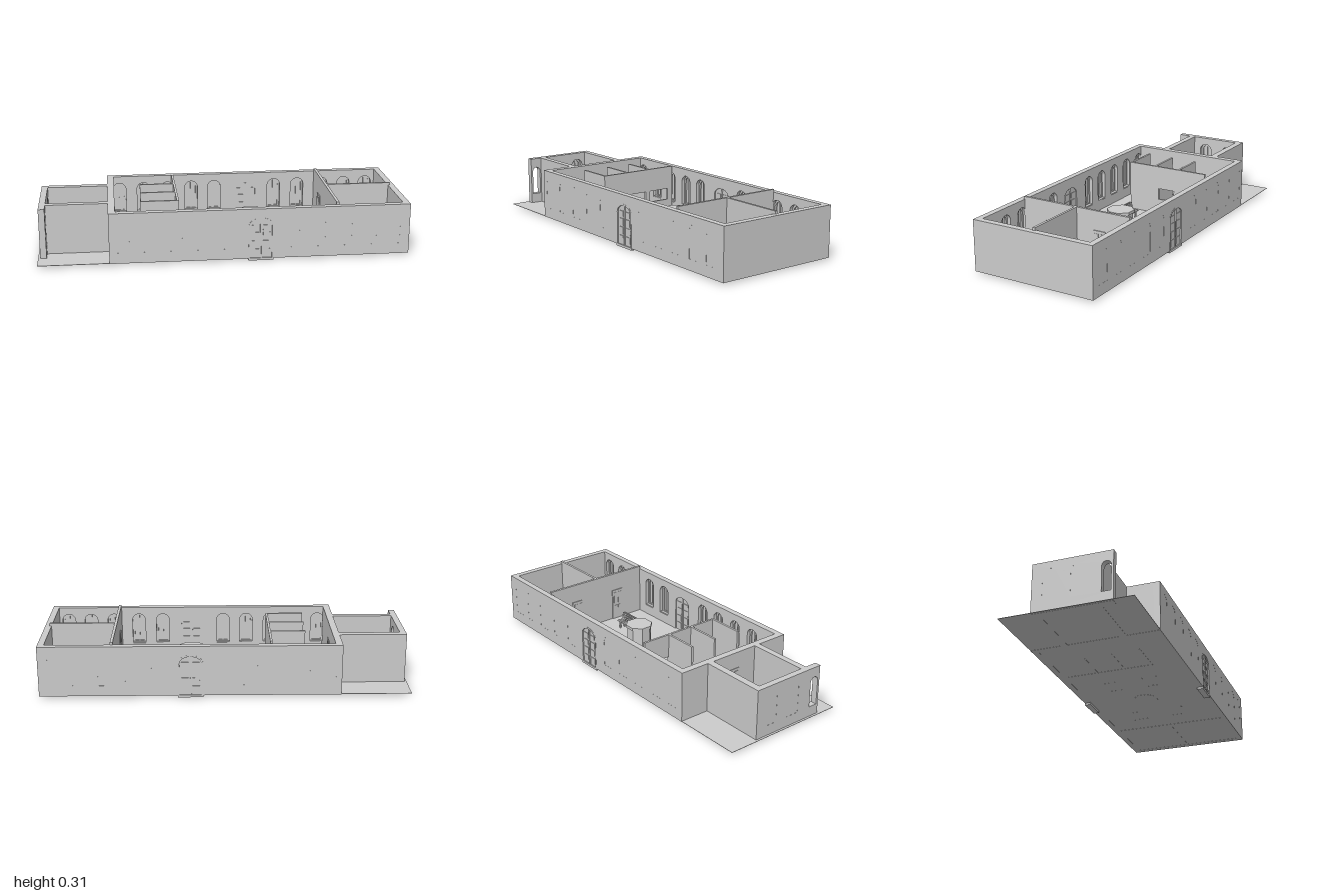
import * as THREE from 'three';

const mat = new THREE.MeshStandardMaterial({ color: 0xcccccc, flatShading: true, side: THREE.DoubleSide });
const BASE = 0.011, TOP = 0.29, T = 0.034;

function add(parent, name, geometry, x = 0, y = 0, z = 0) {
  const mesh = new THREE.Mesh(geometry, mat);
  mesh.name = name;
  mesh.position.set(x, y, z);
  parent.add(mesh);
  return mesh;
}

// box given by its minimum and maximum on each axis
function block(parent, name, x0, x1, y0, y1, z0, z1) {
  return add(parent, name, new THREE.BoxGeometry(x1 - x0, y1 - y0, z1 - z0),
    (x0 + x1) / 2, (y0 + y1) / 2, (z0 + z1) / 2);
}

// opening outline with an elliptical head; rise 0 gives a rectangle
function arch(path, c, w, y0, y1, rise) {
  path.moveTo(c - w / 2, y0);
  path.lineTo(c + w / 2, y0);
  path.lineTo(c + w / 2, y1 - rise);
  if (rise > 0) path.absellipse(c, y1 - rise, w / 2, rise, 0, Math.PI, false, 0);
  else path.lineTo(c - w / 2, y1);
  path.closePath();
  return path;
}

const extrude = (shape, depth) =>
  new THREE.ExtrudeGeometry(shape, { depth, bevelEnabled: false, curveSegments: 10 });

// upright wall along local x from a to b, pierced by openings [centre, width, bottom, top, rise]
function wall(parent, name, a, b, top, depth, openings = []) {
  const shape = new THREE.Shape();
  shape.moveTo(a, BASE);
  shape.lineTo(b, BASE);
  shape.lineTo(b, top);
  shape.lineTo(a, top);
  shape.closePath();
  for (const o of openings) shape.holes.push(arch(new THREE.Path(), ...o));
  return add(parent, name, extrude(shape, depth));
}

// pane flush with the outer face (local z = T), with a frame, bars and a sill behind it
function windowUnit(parent, c) {
  const g = new THREE.Group();
  g.name = 'window';
  g.position.x = c;
  add(g, 'pane', extrude(arch(new THREE.Shape(), 0, 0.075, 0.07, 0.25, 0.0375), 0.006), 0, 0, T - 0.0065);
  const frame = arch(new THREE.Shape(), 0, 0.075, 0.07, 0.25, 0.0375);
  frame.holes.push(arch(new THREE.Path(), 0, 0.053, 0.081, 0.239, 0.0265));
  add(g, 'windowFrame', extrude(frame, 0.008), 0, 0, T - 0.0145);
  block(g, 'mullion', -0.003, 0.003, 0.08, 0.24, T - 0.0125, T - 0.006);
  block(g, 'sill', -0.0375, 0.0375, 0.07, 0.075, 0.002, T - 0.006);
  parent.add(g);
}

// arched double door with raised panels on both faces
function doubleDoor(parent, c) {
  const g = new THREE.Group();
  g.name = 'doubleDoor';
  g.position.x = c;
  const frame = arch(new THREE.Shape(), 0, 0.134, 0.0125, 0.24, 0.045);
  frame.holes.push(arch(new THREE.Path(), 0, 0.118, 0.014, 0.231, 0.04));
  add(g, 'doorFrame', extrude(frame, T + 0.001));
  add(g, 'doorLeaves', extrude(arch(new THREE.Shape(), 0, 0.12, 0.0135, 0.232, 0.04), T - 0.012), 0, 0, 0.006);
  for (const side of [-1, 1]) {
    for (let row = 0; row < 4; row++) {
      const y = 0.028 + row * 0.047, h = row === 3 ? 0.03 : 0.036;
      block(g, 'doorPanel', side * 0.03 - 0.019, side * 0.03 + 0.019, y, y + h, 0.003, T - 0.003);
    }
    block(g, 'doorEdge', side * 0.0035 - 0.002, side * 0.0035 + 0.002, 0.014, 0.229, 0.002, T - 0.002);
  }
  block(g, 'doorstep', -0.068, 0.068, 0, 0.014, 0, T);
  parent.add(g);
}

// plain door lying in a wall that runs along z
function innerDoor(parent, x0, x1, z) {
  const g = new THREE.Group();
  g.name = 'innerDoor';
  block(g, 'doorFrame', x0, x1, 0.013, 0.2, z - 0.036, z + 0.036);
  for (const s of [-1, 1])
    for (const y of [0.03, 0.115])
      block(g, 'doorPanel', x0 - 0.002, x1 + 0.002, y, y + 0.07, z + s * 0.015 - 0.011, z + s * 0.015 + 0.011);
  parent.add(g);
}

// back-to-back slatted bench
function bench(parent, x, z) {
  const g = new THREE.Group();
  g.name = 'bench';
  g.position.set(x, 0, z);
  const L = 0.075;
  for (const s of [-1, 1]) {
    for (let i = 0; i < 3; i++) {
      const c = s * (0.019 + i * 0.0135);
      block(g, 'seatSlat', -L, L, 0.054, 0.059, c - 0.005, c + 0.005);
    }
    for (let i = 0; i < 3; i++) {
      const c = s * (0.011 - i * 0.0025), y = 0.064 + i * 0.013;
      block(g, 'backSlat', -L, L, y, y + 0.009, c - 0.002, c + 0.002);
    }
    for (const e of [-0.055, 0.055]) {
      for (const c of [0.012, 0.043])
        block(g, 'leg', e - 0.004, e + 0.004, 0.011, 0.054, s * c - 0.004, s * c + 0.004);
      block(g, 'rail', e - 0.004, e + 0.004, 0.048, 0.054, s * 0.027 - 0.02, s * 0.027 + 0.02);
      block(g, 'backPost', e - 0.003, e + 0.003, 0.05, 0.097, s * 0.005 - 0.003, s * 0.005 + 0.003);
    }
  }
  parent.add(g);
}

export function createModel() {
  const model = new THREE.Group();
  model.name = 'singleStoreyHall';

  block(model, 'floor', -1, 1, 0.012, 0.014, -0.355, 0.355);

  // long walls with windows and the entrance doors, front and back alike
  const windows = [-0.55, -0.41, -0.27, -0.13, 0.005, 0.36, 0.5, 0.645, 0.78, 0.91];
  const doorX = 0.19;
  for (const s of [1, -1]) {
    const side = new THREE.Group();
    side.name = s > 0 ? 'frontSide' : 'backSide';
    const at = (x) => s * x;
    const holes = windows.map((x) => [at(x), 0.075, 0.07, 0.25, 0.0375]);
    holes.push([at(doorX), 0.134, 0.0125, 0.24, 0.045]);
    wall(side, 'longWall', Math.min(at(-0.62), at(1)), Math.max(at(-0.62), at(1)), TOP, T, holes);
    windows.forEach((x) => windowUnit(side, at(x)));
    doubleDoor(side, at(doorX));
    side.rotation.y = s > 0 ? 0 : Math.PI;
    side.position.z = s * (0.355 - T);
    model.add(side);
  }

  // end walls of the hall
  block(model, 'leftEndWall', 0.965, 1, BASE, TOP, -0.321, 0.321);
  block(model, 'rightEndWall', -0.62, -0.583, BASE, TOP, -0.321, 0.321);
  innerDoor(model, -0.623, -0.58, -0.005);

  // partitions of the two end rooms
  block(model, 'crossPartition', 0.6, 0.615, BASE, 0.305, -0.325, 0.325);
  block(model, 'roomPartition', 0.615, 0.975, BASE, 0.305, -0.008, 0.006);
  for (const z of [-0.145, 0.145]) innerDoor(model, 0.595, 0.62, z);

  // booths: a long wall with two low openings, and three dividers
  const booth = wall(model, 'boothWall', -0.3, 0.185, 0.297, 0.012,
    [[-0.055, 0.1, 0.1, 0.165, 0], [-0.2, 0.13, 0.1, 0.165, 0]]);
  booth.rotation.y = -Math.PI / 2;
  booth.position.x = -0.236;
  for (const [x, z] of [[-0.437, -0.132], [-0.44, 0.022], [-0.447, 0.179]])
    block(model, 'boothDivider', x, -0.248, BASE, 0.297, z - 0.006, z + 0.006);

  // annex at the right end, its end wall running past the corner as an open screen
  block(model, 'annexBackWall', -0.955, -0.62, BASE, TOP, -0.185, -0.147);
  block(model, 'annexFrontWall', -0.955, -0.62, BASE, TOP, 0.14, 0.175);
  const annexEnd = new THREE.Group();
  annexEnd.name = 'annexEnd';
  wall(annexEnd, 'annexEndWall', -0.185, 0.245, TOP, T, [
    [-0.09, 0.075, 0.07, 0.25, 0.0375],
    [0.06, 0.075, 0.07, 0.25, 0.0375],
    [0.208, 0.05, 0.07, 0.235, 0.025],
  ]);
  windowUnit(annexEnd, -0.09);
  windowUnit(annexEnd, 0.06);
  annexEnd.rotation.y = -Math.PI / 2;
  annexEnd.position.x = -0.954;
  model.add(annexEnd);

  // octagonal counter in the middle of the hall
  const octagon = (r, h) => new THREE.CylinderGeometry(r, r, h, 8).rotateY(Math.PI / 8);
  add(model, 'counterBody', octagon(0.07, 0.14), 0.185, 0.081, -0.005);
  add(model, 'counterTop', octagon(0.076, 0.016), 0.185, 0.157, -0.005);

  for (const x of [-0.04, 0.41]) for (const z of [-0.132, 0.111]) bench(model, x, z);

  return model;
}
